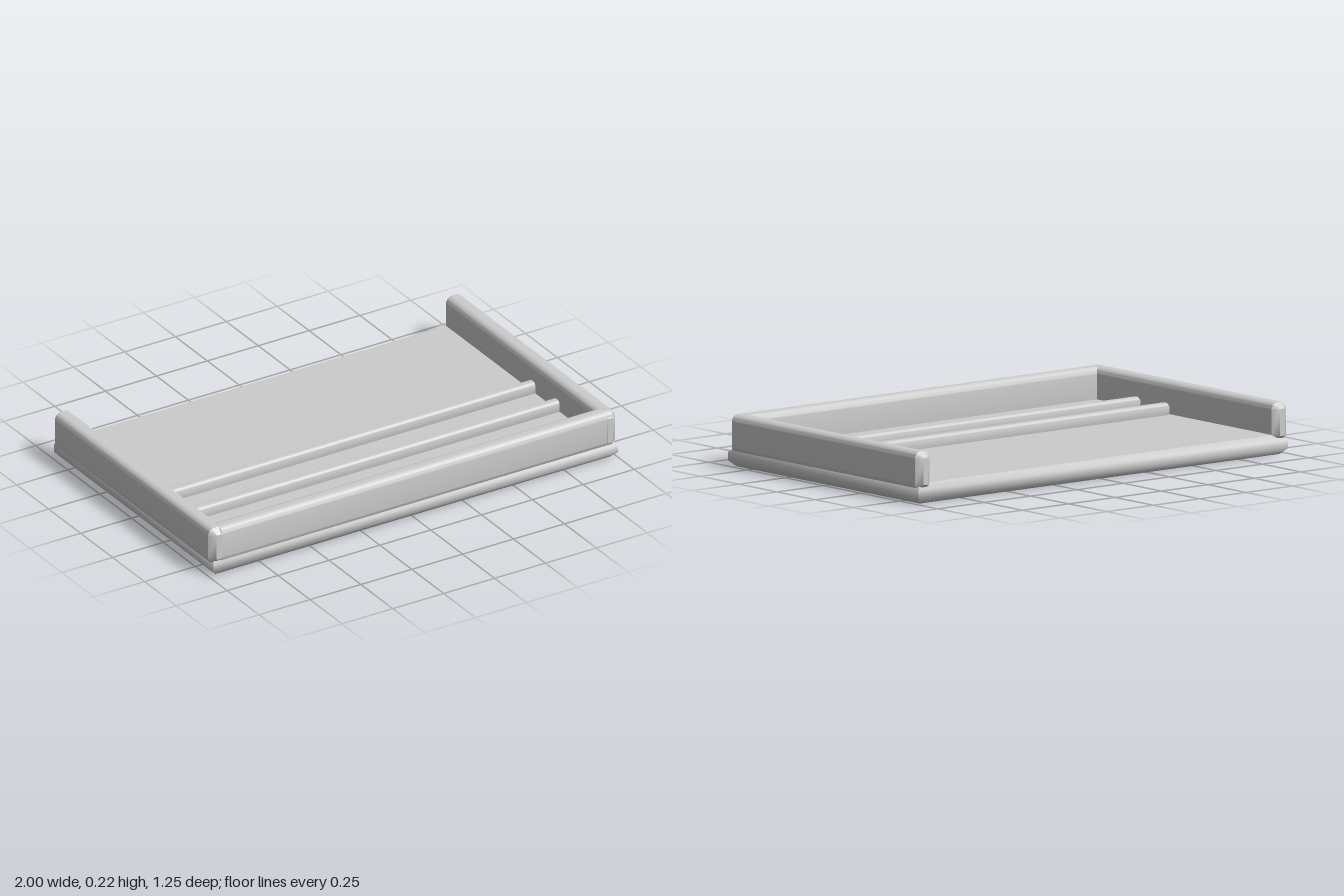
import * as THREE from 'three';
import { toCreasedNormals } from 'three/addons/utils/BufferGeometryUtils.js';

const paint = new THREE.MeshStandardMaterial({ color: 0xcccccc });
paint.name = 'plain grey';

// Rounded rectangle centred on the origin; radius 0 gives square corners.
function outline(w, h, r) {
  const s = new THREE.Shape();
  const x = w / 2 - r, y = h / 2 - r;
  if (r === 0) {
    s.moveTo(-x, -y).lineTo(x, -y).lineTo(x, y).lineTo(-x, y);
    return s;
  }
  s.absarc(x, y, r, 0, Math.PI / 2);
  s.absarc(-x, y, r, Math.PI / 2, Math.PI);
  s.absarc(-x, -y, r, Math.PI, Math.PI * 1.5);
  s.absarc(x, -y, r, Math.PI * 1.5, Math.PI * 2);
  return s;
}

// Solid with chamfered ends, extruded along z and centred.
function chamfered(w, h, length, r, bevel) {
  const g = new THREE.ExtrudeGeometry(outline(w, h, r), {
    depth: length - 2 * bevel, curveSegments: 3, bevelEnabled: true,
    bevelThickness: bevel, bevelSize: bevel, bevelOffset: -bevel, bevelSegments: 1,
  });
  return g.center();
}

// Round-edged bar along x or z filling the given box.
function bar(name, axis, min, max, r, bevel) {
  const a = new THREE.Vector3(...min), b = new THREE.Vector3(...max);
  const size = b.clone().sub(a);
  const alongX = axis === 'x';
  const g = chamfered(alongX ? size.z : size.x, size.y, alongX ? size.x : size.z, r, bevel);
  if (alongX) g.rotateY(Math.PI / 2);
  const mesh = new THREE.Mesh(toCreasedNormals(g, 0.65), paint);
  mesh.name = name;
  mesh.position.copy(a.add(b).multiplyScalar(0.5));
  return mesh;
}

// Base slab: softened rim, but flat top and bottom faces.
function baseSlab() {
  let g = chamfered(1.99, 1.25, 0.085, 0, 0.025).rotateX(-Math.PI / 2);
  g = toCreasedNormals(g, 0.9);
  const p = g.attributes.position, n = g.attributes.normal;
  for (let i = 0; i < p.count; i += 3) {
    const y = p.getY(i);
    const flat = Math.abs(p.getY(i + 1) - y) < 1e-5 && Math.abs(p.getY(i + 2) - y) < 1e-5;
    if (flat) for (let k = 0; k < 3; k++) n.setXYZ(i + k, 0, Math.sign(y), 0);
  }
  const mesh = new THREE.Mesh(g, paint);
  mesh.name = 'base';
  mesh.position.set(0.005, 0.0425, 0);
  return mesh;
}

export function createModel() {
  const model = new THREE.Group();
  model.name = 'tray';
  model.add(baseSlab());

  // Raised rails on the two sides and the front; the back stays open
  model.add(bar('leftRail', 'z', [0.922, 0.055, -0.625], [1, 0.22, 0.625], 0.03, 0.025));
  model.add(bar('rightRail', 'z', [-1, 0.055, -0.625], [-0.922, 0.22, 0.625], 0.03, 0.025));
  model.add(bar('frontRail', 'x', [-0.97, 0.055, 0.545], [1, 0.22, 0.623], 0.03, 0.025));

  // Two low dividers across the floor
  for (const [i, z] of [0.055, 0.245].entries()) {
    model.add(bar(`divider${i + 1}`, 'x', [-0.923, 0.07, z], [0.94, 0.135, z + 0.046], 0.018, 0.016));
  }
  return model;
}
